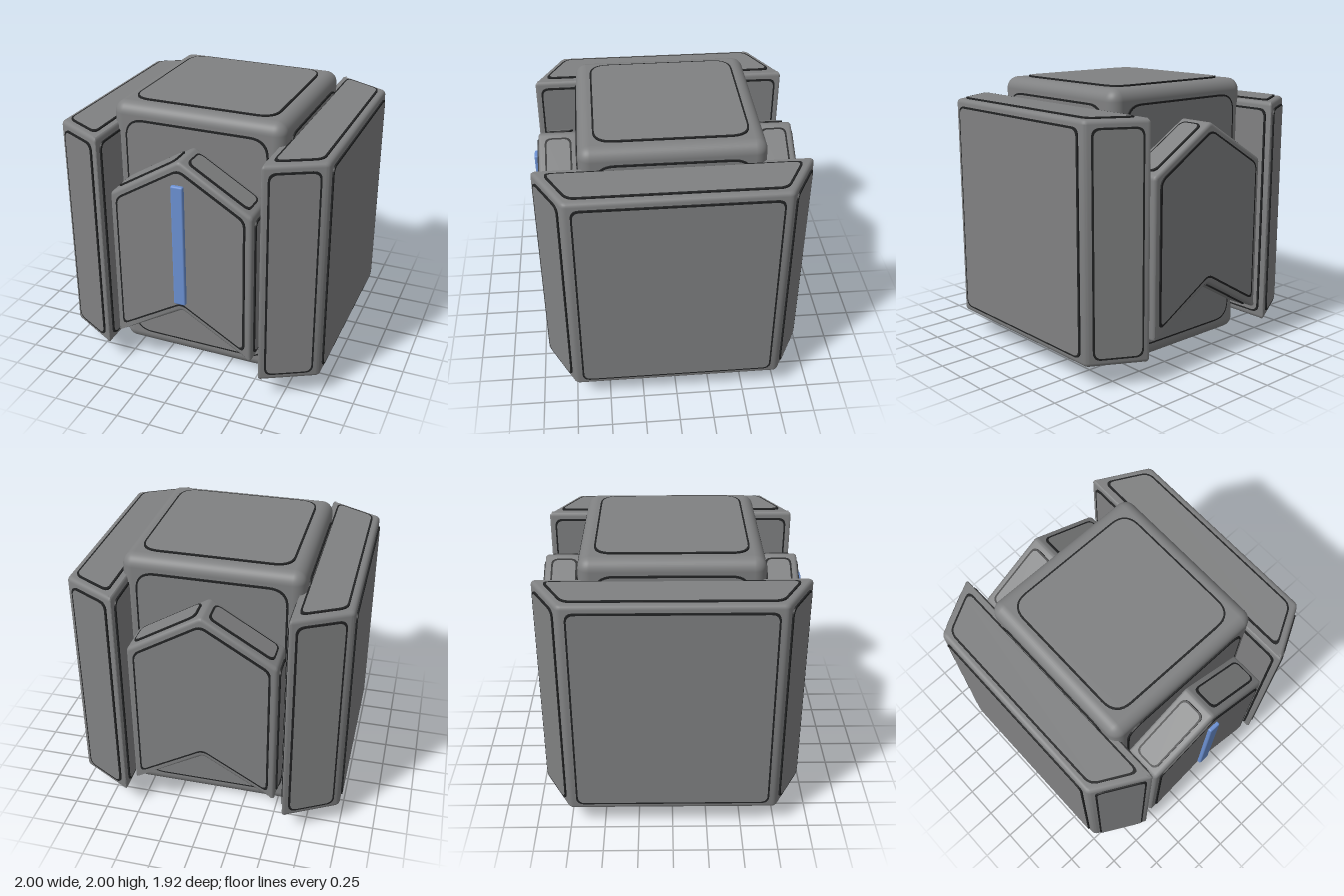
import * as THREE from 'three';
import { toCreasedNormals } from 'three/addons/utils/BufferGeometryUtils.js';
import { RoundedBoxGeometry } from 'three/addons/geometries/RoundedBoxGeometry.js';

const grey = new THREE.MeshStandardMaterial({ color: 0x808182 });
grey.name = 'grey metal';
const dark = new THREE.MeshStandardMaterial({ color: 0x222324 });
dark.name = 'dark panel edge';
const blue = new THREE.MeshStandardMaterial({ color: 0x6b90d2 });
blue.name = 'blue light';

const RISE = 0.012; // height of raised panels
const LINE = 0.013; // width of their dark edge

function mesh(name, geometry, material) {
  const m = new THREE.Mesh(geometry, material);
  m.name = name;
  return m;
}

// Move every edge of a counter-clockwise polygon inwards by d
function inset(pts, d) {
  const n = pts.length;
  return pts.map((v, i) => {
    const a = v.clone().sub(pts[(i + n - 1) % n]).normalize();
    const b = pts[(i + 1) % n].clone().sub(v).normalize();
    const na = new THREE.Vector2(-a.y, a.x), nb = new THREE.Vector2(-b.y, b.x);
    return na.clone().add(nb).multiplyScalar(d / (1 + na.dot(nb))).add(v);
  });
}

// Polygon with softened corners
function roundShape(pts, r) {
  const shape = new THREE.Shape();
  const n = pts.length;
  pts.forEach((v, i) => {
    const p = pts[(i + n - 1) % n], q = pts[(i + 1) % n];
    const s = v.clone().lerp(p, Math.min(0.45, r / v.distanceTo(p)));
    const e = v.clone().lerp(q, Math.min(0.45, r / v.distanceTo(q)));
    if (i === 0) shape.moveTo(s.x, s.y);
    else shape.lineTo(s.x, s.y);
    shape.quadraticCurveTo(v.x, v.y, e.x, e.y);
  });
  shape.closePath();
  return shape;
}

// Raised panel in the local xy plane: dark edge plate with a grey face
function panel(name, pts, r) {
  const g = new THREE.Group();
  g.name = name;
  const edge = new THREE.ExtrudeGeometry(roundShape(pts, r), { depth: RISE - 0.002, bevelEnabled: false, curveSegments: 8 });
  const face = new THREE.ShapeGeometry(roundShape(inset(pts, LINE), r * 0.9), 8);
  face.translate(0, 0, RISE);
  g.add(mesh('panelEdge', edge, dark), mesh('panelFace', face, grey));
  return g;
}

function rectangle(w, h) {
  return [[-w, -h], [w, -h], [w, h], [-w, h]].map(([x, y]) => new THREE.Vector2(x / 2, y / 2));
}

// Prism along z with a raised panel on every face
function panelledPrism(name, pts, depth, { margin, radius, bevel, body }) {
  const g = new THREE.Group();
  g.name = name;
  if (!body) {
    body = new THREE.ExtrudeGeometry(roundShape(pts, bevel), {
      depth: depth - 2 * bevel, bevelThickness: bevel, bevelSize: bevel, bevelOffset: -bevel, bevelSegments: 4, curveSegments: 5,
    });
    body.translate(0, 0, bevel - depth / 2);
    body = toCreasedNormals(body, 0.45);
  }
  g.add(mesh('body', body, grey));

  // End panels
  const cap = inset(pts, margin);
  const front = panel('endPanel', cap, radius);
  front.position.z = depth / 2;
  const back = panel('endPanel', cap.map((p) => new THREE.Vector2(-p.x, p.y)).reverse(), radius);
  back.position.z = -depth / 2;
  back.rotation.y = Math.PI;
  g.add(front, back);

  // Side panels
  pts.forEach((a, i) => {
    const b = pts[(i + 1) % pts.length];
    const d = b.clone().sub(a).normalize();
    const side = panel('sidePanel', rectangle(a.distanceTo(b) - 2 * margin, depth - 2 * margin), radius);
    const basis = new THREE.Matrix4().makeBasis(
      new THREE.Vector3(d.x, d.y, 0), new THREE.Vector3(0, 0, 1), new THREE.Vector3(d.y, -d.x, 0));
    side.quaternion.setFromRotationMatrix(basis);
    side.position.set((a.x + b.x) / 2, (a.y + b.y) / 2, 0);
    g.add(side);
  });
  return g;
}

const points = (list) => list.map(([x, y]) => new THREE.Vector2(x, y));

export function createModel() {
  const model = new THREE.Group();
  model.name = 'panelledCube';

  // Central block
  const core = panelledPrism('core', rectangle(1.28, 1.976), 1.28, {
    margin: 0.107, radius: 0.14, body: new RoundedBoxGeometry(1.28, 1.976, 1.28, 5, 0.085),
  });
  core.position.y = 1;
  model.add(core);

  // Side wings with slanted ends
  const wingOutline = points([[0.592, -0.965], [0.988, -0.75], [0.988, 0.75], [0.592, 0.965]]);
  for (const side of [1, -1]) {
    const wing = panelledPrism('wingBody', wingOutline, 1.67, { margin: 0.05, radius: 0.06, bevel: 0.03 });
    wing.rotation.x = -Math.PI / 2;
    const holder = new THREE.Group();
    holder.name = side > 0 ? 'leftWing' : 'rightWing';
    holder.add(wing);
    holder.position.y = 1;
    holder.rotation.y = side > 0 ? 0 : Math.PI;
    model.add(holder);
  }

  // Chevron plates on front and back
  const chevron = points([[-0.528, 0.275], [0, 0.587], [0.528, 0.275], [0.528, 1.43], [0, 1.75], [-0.528, 1.43]]);
  for (const side of [1, -1]) {
    const plate = panelledPrism(side > 0 ? 'frontChevron' : 'backChevron', chevron, 0.285, { margin: 0.047, radius: 0.05, bevel: 0.025 });
    plate.position.z = side * 0.783;
    plate.rotation.y = side > 0 ? 0 : Math.PI;
    model.add(plate);
  }

  // Light strip
  const strip = mesh('lightStrip', new RoundedBoxGeometry(0.09, 0.925, 0.05, 3, 0.012), blue);
  strip.position.set(0, 1.12, 0.94);
  model.add(strip);

  return model;
}
